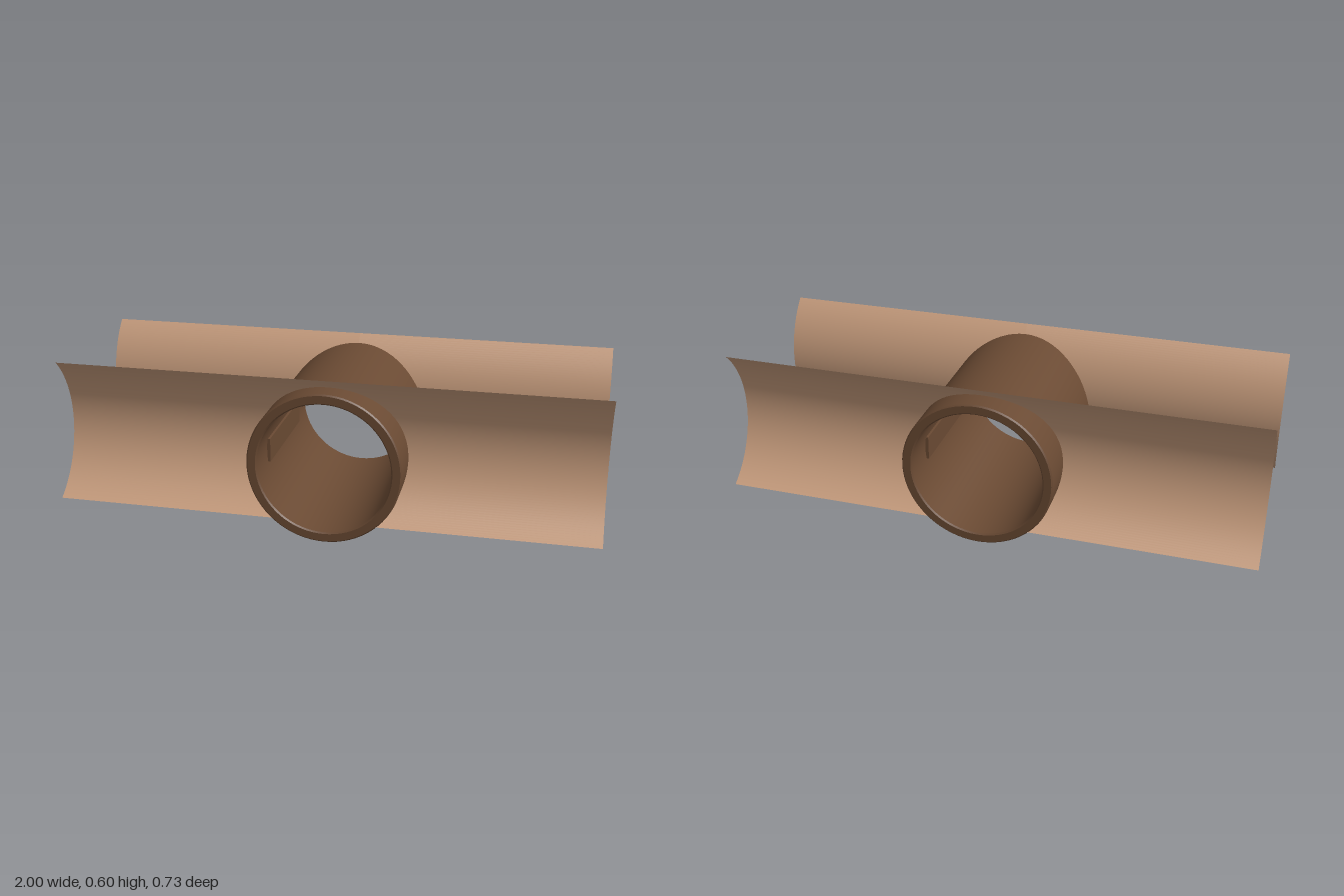
import * as THREE from 'three';
import { toCreasedNormals } from 'three/addons/utils/BufferGeometryUtils.js';

const CX = 0.015, CY = 0.285;            // pipe axis
const OUTER = 0.283, INNER = 0.245, HALF = 0.363;

export function createModel() {
  const group = new THREE.Group();
  const brown = new THREE.MeshStandardMaterial({ color: 0x6a4a33 });
  brown.name = 'dark brown';
  const tan = new THREE.MeshStandardMaterial({ color: 0xc49a7b, side: THREE.DoubleSide });
  tan.name = 'tan';

  const add = (name, geometry, material) => {
    const mesh = new THREE.Mesh(geometry, material);
    mesh.name = name;
    group.add(mesh);
    return mesh;
  };

  // Hollow pipe with small bevels on its rims
  const b = 0.005;
  const profile = [
    [INNER, -HALF + b], [INNER + b, -HALF], [OUTER - b, -HALF], [OUTER, -HALF + b],
    [OUTER, HALF - b], [OUTER - b, HALF], [INNER + b, HALF], [INNER, HALF - b], [INNER, -HALF + b],
  ].map(([r, y]) => new THREE.Vector2(r, y));
  const pipe = toCreasedNormals(new THREE.LatheGeometry(profile, 72), 0.5);
  pipe.rotateX(Math.PI / 2);
  add('pipe', pipe, brown).position.set(CX, CY, 0);

  // Slim rails along the inside walls of the pipe
  for (const side of [-1, 1]) {
    add(side > 0 ? 'leftRail' : 'rightRail', new THREE.BoxGeometry(0.012, 0.09, 0.44), brown)
      .position.set(CX + side * 0.238, CY, 0);
  }

  // Curved sheets, bowed towards the middle and cut away where the pipe passes
  const arcY = 0.36, arcZ = 0.538, arcR = 0.331;
  const low = -57.7 * Math.PI / 180, high = 46.5 * Math.PI / 180;
  const cut = 0.268;
  const sheetHalf = (side, face) => {
    const geometry = new THREE.PlaneGeometry(1, 1, 1, 64);
    const p = geometry.attributes.position;
    for (let i = 0; i < p.count; i++) {
      const angle = THREE.MathUtils.lerp(low, high, p.getY(i) + 0.5);
      const y = arcY + arcR * Math.sin(angle);
      const z = arcZ - arcR * Math.cos(angle);
      const notch = Math.sqrt(Math.max(0, cut * cut - (y - CY) ** 2));
      const inner = CX + side * notch;
      const isOuter = (p.getX(i) > 0) === (side > 0);
      p.setXYZ(i, isOuter ? side : inner, y, face * z);
    }
    geometry.computeVertexNormals();
    return geometry;
  };
  for (const face of [1, -1]) {
    for (const side of [1, -1]) {
      add((face > 0 ? 'front' : 'back') + (side > 0 ? 'Left' : 'Right') + 'Sheet', sheetHalf(side, face), tan);
    }
  }
  return group;
}
